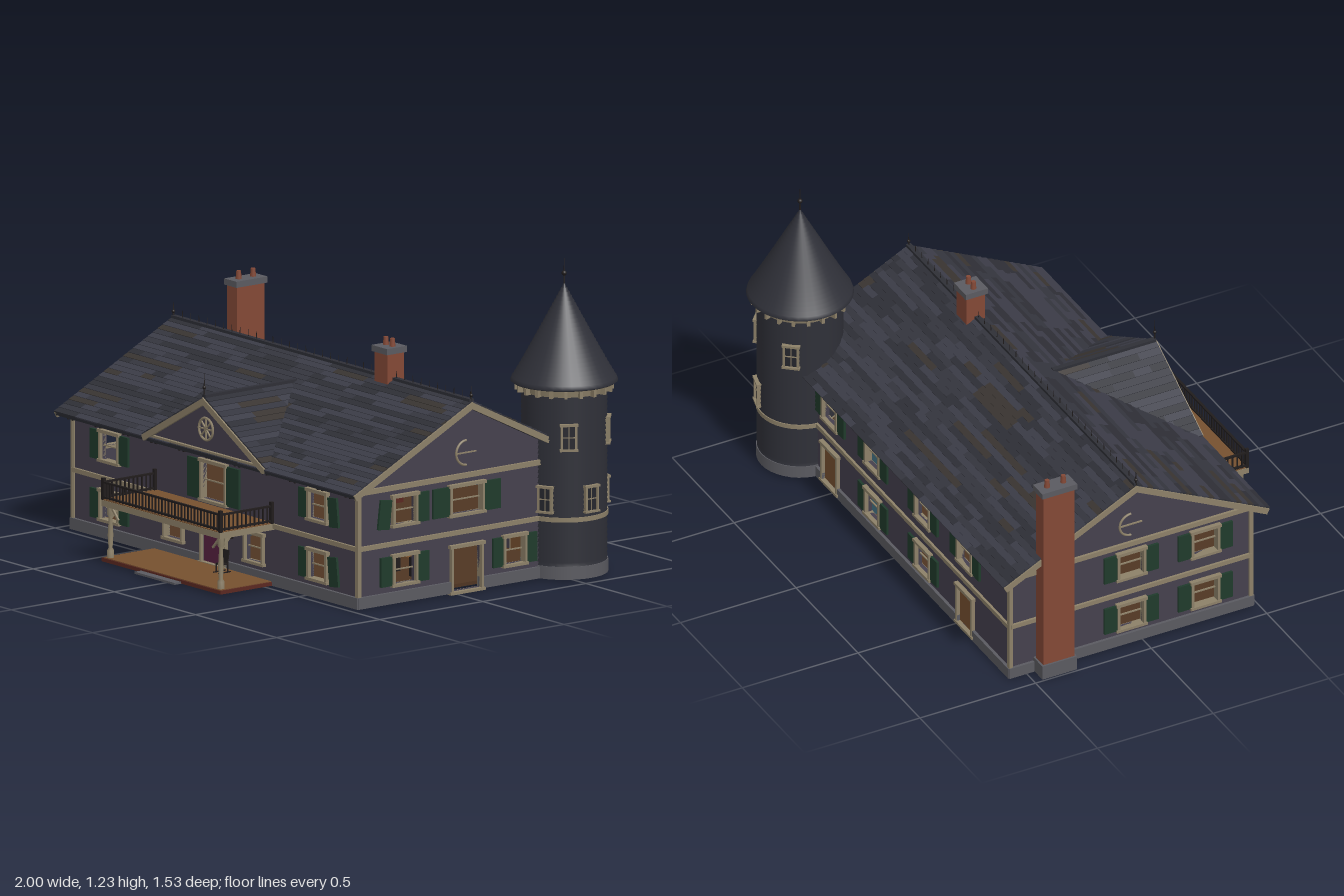
import * as THREE from 'three';
import { mergeGeometries } from 'three/addons/utils/BufferGeometryUtils.js';

const C = { wall: 0x45404d, trim: 0x8c8068, tower: 0x2f3038, stone: 0x5a5a60, brick: 0x834836, shutter: 0x1f3a2b,
  wood: 0x76502f, floor: 0x4e3522, dark: 0x201c1c, purple: 0x552040, blue: 0x2f5260, red: 0x5a2820, pane: 0x25262c };
const shades = [0x34353e, 0x2e2f36, 0x3b3c47, 0x393431];
const mats = {};
const mat = (c) => (mats[c] ??= new THREE.MeshStandardMaterial({ color: c, side: THREE.DoubleSide }));
let seed = 7;
const rnd = () => (seed = (seed * 16807) % 2147483647) / 2147483647;

function add(parent, name, geo, color, x = 0, y = 0, z = 0) {
  const m = new THREE.Mesh(geo, mat(color));
  m.name = name;
  m.position.set(x, y, z);
  parent.add(m);
  return m;
}
const box = (p, name, color, w, h, d, x, y, z) => add(p, name, new THREE.BoxGeometry(w, h, d), color, x, y, z);
const cyl = (p, name, color, r0, r1, h, x, y, z, n = 10) => add(p, name, new THREE.CylinderGeometry(r0, r1, h, n), color, x, y, z);
function group(parent, name, x = 0, y = 0, z = 0, ry = 0) {
  const g = new THREE.Group();
  g.name = name;
  g.position.set(x, y, z);
  g.rotation.y = ry;
  parent.add(g);
  return g;
}
function polygon(pts) {
  return new THREE.Shape(pts.map(([x, y]) => new THREE.Vector2(x, y)));
}

// Four boards around an opening, with a projecting sill
function frame(p, x, y, w, h, t = 0.011) {
  for (const s of [-1, 1]) box(p, 'windowFrameSide', C.trim, t, h + 2 * t, 0.03, x + s * (w + t) / 2, y + h / 2, 0);
  box(p, 'windowHead', C.trim, w + 3 * t, t * 1.2, 0.036, x, y + h + t / 2, 0);
  box(p, 'windowSill', C.trim, w + 3 * t, t, 0.036, x, y - t / 2, 0);
}

// One outer wall: local x runs along it, local z points outward
function facade(root, name, px, pz, ry, outline, openings) {
  const g = group(root, name, px, 0, pz, ry);
  const shape = polygon(outline);
  for (const { x, y, w, h } of openings) {
    shape.holes.push(new THREE.Path(polygon([[x - w / 2, y], [x - w / 2, y + h], [x + w / 2, y + h], [x + w / 2, y]]).getPoints()));
  }
  add(g, 'wall', new THREE.ExtrudeGeometry(shape, { depth: 0.016, bevelEnabled: false }), C.wall, 0, 0, -0.016);
  const x0 = outline[0][0], x1 = outline[1][0], mid = (x0 + x1) / 2, len = x1 - x0;
  box(g, 'floorBand', C.trim, len, 0.018, 0.012, mid, 0.233, 0.004);
  box(g, 'topBand', C.trim, len, 0.02, 0.014, mid, 0.452, 0.004);
  for (const x of [x0, x1]) box(g, 'cornerBoard', C.trim, 0.018, 0.41, 0.014, x, 0.25, 0.001);
  // foundation, broken at doors
  let from = x0 - 0.008;
  const doors = openings.filter((o) => o.door).sort((a, b) => a.x - b.x);
  for (const to of [...doors.map((d) => d.x - d.w / 2), x1 + 0.008]) {
    box(g, 'foundation', C.stone, to - from, 0.045, 0.024, (from + to) / 2, 0.0225, 0);
    from = to + (doors[0]?.w ?? 0);
  }
  for (const { x, y, w, h, door, bare, tilt = 0 } of openings) {
    frame(g, x, y, w, h);
    if (door) {
      if (door !== true) box(g, 'door', door, w, h, 0.01, x, y + h / 2, -0.006);
      continue;
    }
    box(g, 'meetingRail', C.trim, w, 0.005, 0.006, x, y + h / 2, -0.008);
    if (bare) continue;
    const sw = w * 0.55;
    for (const s of [-1, 1]) {
      const sh = box(g, 'shutter', C.shutter, sw, h + 0.01, 0.01, x + s * (w / 2 + sw / 2 + 0.012), y + h / 2, 0.006);
      if (tilt === s) { sh.rotation.z = s * 0.12; sh.position.x += s * 0.008; sh.position.y -= 0.008; }
    }
  }
  return g;
}

// Shingled gable roof, ridge along local x at z = 0
function gableRoof(parent, name, x0, x1, ridgeY, run, drop, rows) {
  const g = group(parent, name), A = Math.atan2(drop, run), L = Math.hypot(run, drop), step = L / rows;
  const parts = shades.map(() => []);
  for (const s of [-1, 1]) {
    const side = group(g, 'roofSlope', 0, ridgeY, 0);
    side.rotation.x = s * A;
    box(side, 'roofDeck', shades[1], x1 - x0, 0.014, L, (x0 + x1) / 2, -0.012, s * L / 2);
    for (const x of [x0, x1]) box(side, 'rakeBoard', C.trim, 0.012, 0.024, L, x, -0.016, s * L / 2);
    for (let i = 0; i < rows; i++) {
      for (let x = x0; x < x1 - 1e-4;) {
        const w = Math.min(0.06 + rnd() * 0.22, x1 - x), b = new THREE.BoxGeometry(w, 0.006, step * 1.15);
        b.rotateX(-s * 0.08).translate(x + w / 2, -0.001, s * (i + 0.5) * step);
        b.rotateX(s * A).translate(0, ridgeY, 0);
        parts[Math.floor(rnd() * 3.3)].push(b);
        x += w;
      }
    }
  }
  parts.forEach((p, i) => p.length && add(g, 'shingles', mergeGeometries(p), shades[i]));
  box(g, 'ridgeCap', shades[1], x1 - x0, 0.012, 0.02, (x0 + x1) / 2, ridgeY + 0.002, 0);
  return g;
}

function chimney(root, name, x, z, w, d, y0, y1, pots) {
  const g = group(root, name, x, 0, z);
  box(g, 'brickStack', C.brick, w, y1 - y0, d, 0, (y0 + y1) / 2, 0);
  box(g, 'chimneyCap', C.stone, w + 0.016, 0.024, d + 0.016, 0, y1 + 0.01, 0);
  for (const [px, pz] of pots) cyl(g, 'chimneyPot', C.brick, 0.009, 0.012, 0.035, px, y1 + 0.036, pz);
  return g;
}

function wheelWindow(p, x, y, z, r, half) {
  const g = group(p, 'wheelWindow', x, y, z);
  const ring = add(g, 'ring', new THREE.TorusGeometry(r, 0.005, 6, 28, half ? Math.PI : Math.PI * 2), C.trim);
  ring.rotation.z = Math.PI / 2;
  for (let i = 0; i < (half ? 1 : 4); i++) box(g, 'spoke', C.trim, r * 2, 0.005, 0.006, 0, 0, 0).rotation.z = i * Math.PI / 4;
}

function finial(p, x, y, z, h) {
  cyl(p, 'finial', C.dark, 0.001, 0.004, h, x, y + h / 2, z, 6);
  add(p, 'finialBall', new THREE.SphereGeometry(0.007, 10, 8), C.dark, x, y + h * 0.4, z);
}

function railing(p, x0, z0, x1, z1, y) {
  const len = Math.hypot(x1 - x0, z1 - z0), g = group(p, 'railing', x0, y, z0, Math.atan2(z0 - z1, x1 - x0));
  for (const h of [0.01, 0.068]) box(g, 'rail', C.dark, len, 0.007, 0.01, len / 2, h, 0);
  const n = Math.round(len / 0.02);
  for (let i = 0; i <= n; i++) box(g, 'baluster', C.dark, 0.005, 0.066, 0.005, (i / n) * len, 0.036, 0);
  for (const x of [0, len]) box(g, 'newel', C.dark, 0.013, 0.085, 0.013, x, 0.042, 0);
}

function tower(root) {
  const g = group(root, 'tower', 0.79, 0, -0.56);
  const lathe = (name, pts, color) => add(g, name, new THREE.LatheGeometry(pts.map(([r, y]) => new THREE.Vector2(r, y)), 36), color);
  const wall = [], roof = [];
  for (let i = 0; i < 36; i++) wall.push([0.166, 0.045 + i * 0.0192], [0.161, 0.045 + (i + 1) * 0.0192]);
  for (let i = 0; i < 24; i++) {
    const r = (t) => 0.2 * (1 - t) + 0.006 * Math.pow(1 - t, 6);
    roof.push([r(i / 24), 0.747 + i * 0.0156], [r((i + 1) / 24) + 0.004, 0.747 + (i + 1) * 0.0156]);
  }
  lathe('towerWall', wall, C.tower);
  lathe('towerRoof', [[0, 0.74], [0.2, 0.742], ...roof, [0, 1.125]], C.tower);
  cyl(g, 'towerFoundation', C.stone, 0.168, 0.168, 0.05, 0, 0.025, 0, 36);
  cyl(g, 'towerBand', C.trim, 0.169, 0.169, 0.018, 0, 0.233, 0, 36);
  cyl(g, 'towerCornice', C.trim, 0.174, 0.169, 0.03, 0, 0.727, 0, 36);
  for (let i = 0; i < 20; i++) {
    const b = group(g, 'bracketMount', 0, 0, 0, i * Math.PI / 10);
    box(b, 'towerBracket', C.trim, 0.012, 0.028, 0.024, 0, 0.724, 0.178);
  }
  finial(g, 0, 1.12, 0, 0.1);
  add(g, 'finialOrb', new THREE.SphereGeometry(0.01, 12, 10), C.dark, 0, 1.162, 0);
  // windows: angle from +x toward +z, sill height
  for (const [a, y] of [[32, 0.51], [-48, 0.51], [-140, 0.51], [0, 0.265], [64, 0.265], [-75, 0.265]]) {
    const w = group(g, 'towerWindow', 0, 0, 0, Math.PI / 2 - a * Math.PI / 180);
    const f = group(w, 'towerWindowFrame', 0, 0, 0.16);
    frame(f, 0, y, 0.046, 0.09, 0.008);
    box(f, 'pane', C.pane, 0.046, 0.09, 0.014, 0, y + 0.045, 0);
    box(f, 'muntin', C.trim, 0.004, 0.09, 0.02, 0, y + 0.045, 0);
    box(f, 'muntin', C.trim, 0.046, 0.004, 0.02, 0, y + 0.045, 0);
  }
}

function porch(root) {
  const g = group(root, 'porch', -0.052, 0, 0);
  box(g, 'porchFloor', C.red, 0.732, 0.014, 0.265, 0, 0.008, 0.6);
  box(g, 'porchBoards', C.wood, 0.72, 0.003, 0.255, 0, 0.016, 0.6);
  box(g, 'porchStep', C.stone, 0.245, 0.008, 0.04, 0, 0.004, 0.745);
  box(g, 'balconyBeam', C.trim, 0.732, 0.024, 0.265, 0, 0.23, 0.602);
  box(g, 'balconyFloor', C.wood, 0.726, 0.005, 0.262, 0, 0.243, 0.602);
  const post = [[0.014, 0], [0.014, 0.03], [0.008, 0.04], [0.011, 0.09], [0.007, 0.16], [0.013, 0.17], [0.013, 0.205]];
  for (const s of [-1, 1]) {
    add(g, 'porchPost', new THREE.LatheGeometry(post.map(([r, y]) => new THREE.Vector2(r, y)), 12), C.trim, s * 0.34, 0.015, 0.71);
    box(g, 'porchBrace', C.trim, 0.008, 0.07, 0.008, s * 0.315, 0.195, 0.71).rotation.z = -s * 0.75;
    box(g, 'porchBrace', C.trim, 0.008, 0.07, 0.008, s * 0.34, 0.195, 0.685).rotation.x = -0.75;
    railing(g, s * 0.36, 0.48, s * 0.36, 0.728, 0.243);
    box(g, 'lantern', C.dark, 0.016, 0.04, 0.018, s * 0.112, 0.16, 0.485);
  }
  railing(g, -0.36, 0.728, 0.36, 0.728, 0.243);
  // rocking chair beside the door
  const c = group(g, 'rockingChair', 0.13, 0.018, 0.54);
  box(c, 'seat', C.dark, 0.035, 0.005, 0.035, 0, 0.035, 0);
  box(c, 'chairBack', C.dark, 0.035, 0.05, 0.004, 0, 0.062, -0.019).rotation.x = -0.15;
  for (const s of [-1, 1]) {
    box(c, 'rocker', C.dark, 0.004, 0.004, 0.06, s * 0.016, 0.003, 0);
    for (const t of [-1, 1]) box(c, 'chairLeg', C.dark, 0.004, 0.035, 0.004, s * 0.016, 0.018, t * 0.015);
  }
}

function interior(root) {
  const g = group(root, 'interior');
  for (const [n, y] of [['groundFloor', 0.02], ['upperFloor', 0.232], ['atticFloor', 0.452]]) box(g, n, C.floor, 1.725, 0.014, 1.01, -0.048, y, -0.05);
  for (const y of [0.125, 0.342]) {
    for (const x of [-0.33, 0.26]) box(g, 'partition', C.blue, 0.012, 0.2, 0.68, x, y, -0.22);
  }
  box(g, 'tableTop', C.wood, 0.2, 0.008, 0.1, 0.55, 0.08, -0.05);
  for (const s of [-1, 1]) for (const t of [-1, 1]) {
    box(g, 'tableLeg', C.wood, 0.008, 0.055, 0.008, 0.55 + s * 0.09, 0.052, -0.05 + t * 0.04);
    box(g, 'diningChair', C.dark, 0.03, 0.075, 0.03, 0.55 + s * 0.06, 0.064, -0.05 + t * 0.075);
  }
  box(g, 'bookcase', C.red, 0.04, 0.18, 0.2, 0.3, 0.33, -0.05);
  for (let i = 0; i < 16; i++) box(g, 'book', [C.purple, C.wood, C.shutter, C.trim][i % 4], 0.02, 0.035, 0.014, 0.32, 0.31 + 0.055 * (i % 2), -0.135 + i * 0.011);
}

export function createModel() {
  const root = new THREE.Group();
  root.name = 'house';
  const win = (x, y, o = {}) => ({ x, y, w: 0.1, h: 0.105, ...o });
  const rect = (a, b) => [[a, 0], [b, 0], [b, 0.462], [a, 0.462]];
  const gable = (a, b, m) => [[a, 0], [b, 0], [b, 0.455], [m, 0.718], [a, 0.455]];
  const UP = 0.307, LOW = 0.075, H = Math.PI / 2;

  facade(root, 'frontWall', 0, 0.47, 0, rect(-0.925, 0.83), [
    win(-0.695, UP), win(-0.695, LOW), win(0.588, UP, { tilt: 1 }), win(0.588, LOW, { tilt: 1 }),
    win(-0.3, LOW, { bare: true }), win(0.195, LOW, { bare: true }),
    win(-0.053, 0.265, { w: 0.14, h: 0.145 }), { x: -0.053, y: 0.02, w: 0.14, h: 0.165, door: C.purple }]);
  const right = facade(root, 'rightWall', 0.83, 0, H, gable(-0.47, 0.57, 0.05), [
    win(-0.25, UP, { tilt: -1 }), win(-0.25, LOW), win(0.05, UP, { w: 0.145 }), win(0.283, LOW, { w: 0.09 }),
    { x: 0.05, y: 0.005, w: 0.135, h: 0.17, door: true }]);
  facade(root, 'backWall', 0, -0.57, Math.PI, rect(-0.83, 0.925), [
    ...[-0.515, -0.17, 0.235, 0.575].map((x) => win(x, UP)), win(-0.17, LOW), win(0.235, LOW),
    ...[-0.515, 0.575].map((x) => ({ x, y: 0.02, w: 0.11, h: 0.16, door: C.wood }))]);
  const left = facade(root, 'leftWall', -0.925, 0, -H, gable(-0.57, 0.47, -0.05),
    [-0.05, 0.27].flatMap((x) => [win(x, UP), win(x, LOW)]));
  wheelWindow(right, 0.05, 0.54, 0.004, 0.048, true);
  wheelWindow(left, -0.05, 0.54, 0.004, 0.048, true);

  // main roof with cresting and eave brackets
  const roof = gableRoof(root, 'mainRoof', -0.973, 0.868, 0.747, 0.575, 0.288, 24);
  roof.position.z = -0.05;
  for (let i = 0; i <= 36; i++) cyl(roof, 'cresting', C.dark, 0.001, 0.002, 0.03, -0.965 + i * 0.0507, 0.766, 0, 5);
  for (const x of [-0.97, 0.865]) finial(roof, x, 0.745, 0, 0.06);
  for (let i = 0; i <= 10; i++) for (const d of [-0.014, 0.014]) for (const z of [0.49, -0.59]) {
    box(root, 'eaveBracket', C.dark, 0.008, 0.026, 0.035, -0.9 + i * 0.171 + d, 0.448, z);
  }

  // front cross gable
  const dormer = group(root, 'frontGable', -0.053, 0, 0, H);
  gableRoof(dormer, 'frontGableRoof', -0.525, -0.08, 0.68, 0.38, 0.212, 14);
  add(root, 'pediment', new THREE.ExtrudeGeometry(polygon([[-0.36, 0.462], [0.36, 0.462], [0, 0.662]]), { depth: 0.02, bevelEnabled: false }), C.wall, -0.053, 0, 0.49);
  box(root, 'pedimentBand', C.trim, 0.74, 0.014, 0.03, -0.053, 0.464, 0.508);
  wheelWindow(root, -0.053, 0.552, 0.514, 0.043, false);
  finial(root, -0.053, 0.68, 0.522, 0.09);

  chimney(root, 'ridgeChimney', 0.353, -0.055, 0.08, 0.08, 0.68, 0.85, [[-0.02, 0], [0.02, 0]]);
  const stack = chimney(root, 'sideChimney', -0.962, -0.395, 0.06, 0.135, 0, 0.832, [[0, -0.035], [0, 0.035]]);
  box(stack, 'chimneyBase', C.stone, 0.076, 0.06, 0.15, 0, 0.03, 0);
  tower(root);
  porch(root);
  interior(root);
  return root;
}
